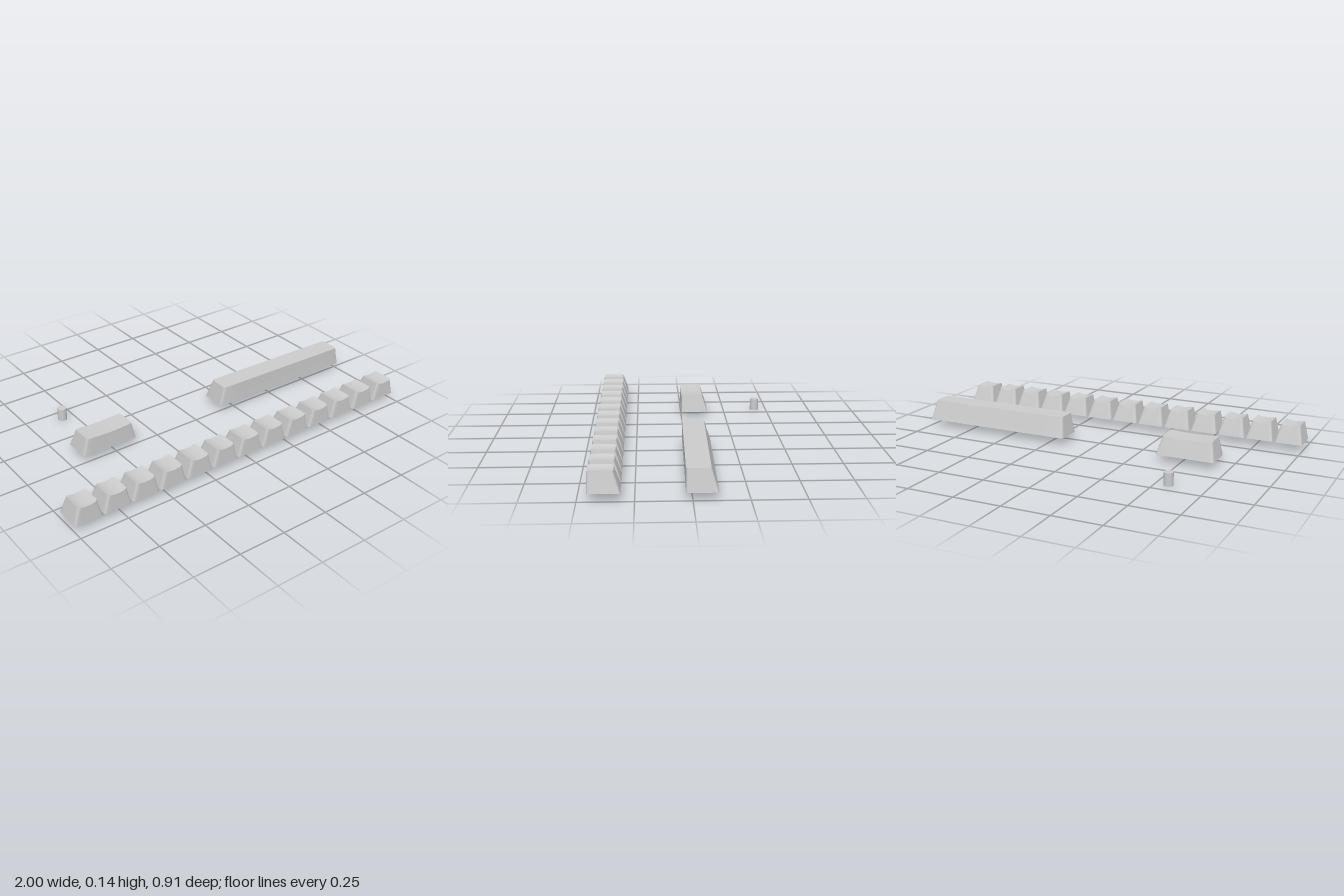
import * as THREE from 'three';
import { toCreasedNormals } from 'three/addons/utils/BufferGeometryUtils.js';

const material = new THREE.MeshStandardMaterial({ color: 0xcccccc });
const BASE_Y = 0.036;

// Rounded rectangle as [x, z] points, anticlockwise seen from above
function outline(x0, x1, z0, z1, r, cornerSteps = 4, sideSteps = 8) {
  const corners = [[x1 - r, z1 - r], [x1 - r, z0 + r], [x0 + r, z0 + r], [x0 + r, z1 - r]];
  const pts = [];
  corners.forEach(([cx, cz], k) => {
    for (let i = 0; i <= cornerSteps; i++) {
      const a = (k + i / cornerSteps) * Math.PI / 2;
      pts.push([cx + r * Math.sin(a), cz + r * Math.cos(a)]);
    }
    const [lx, lz] = pts[pts.length - 1];
    const a = (k + 1) * Math.PI / 2, [nx, nz] = corners[(k + 1) % 4];
    const ex = nx + r * Math.sin(a), ez = nz + r * Math.cos(a);
    for (let i = 1; i < sideSteps; i++) {
      const t = i / sideSteps;
      pts.push([lx + (ex - lx) * t, lz + (ez - lz) * t]);
    }
  });
  return pts;
}

// Skin a list of rings of [x, y, z]; the first and last ring are single points
function loft(rings) {
  const n = rings[0].length, index = [];
  for (let j = 0; j < rings.length - 1; j++) {
    for (let i = 0; i < n; i++) {
      const a = j * n + i, b = j * n + (i + 1) % n, c = b + n, d = a + n;
      if (j > 0) index.push(a, b, c === d ? d : (j < rings.length - 2 ? c : d));
      if (j < rings.length - 2) index.push(a, c, d);
      if (j === 0) index.push(a, c, d).valueOf();
    }
  }
  const geo = new THREE.BufferGeometry();
  geo.setAttribute('position', new THREE.Float32BufferAttribute(rings.flat(2), 3));
  geo.setIndex(index.filter((_, k) => k >= 0));
  return toCreasedNormals(geo, 0.6);
}

// Hollow key shell: upright front, sloping sides and back, dished top
function shellGeometry({ w, d, h, sideIn, backIn, dish }) {
  const wall = 0.01, topHalf = w / 2 - sideIn;
  const section = (t, inset) => {
    const hw = w / 2 - sideIn * t - inset;
    return outline(-hw, hw, -d / 2 + backIn * t + inset, d / 2 - inset, 0.009 + 0.004 * t);
  };
  const flat = (pts, y) => pts.map(([x, z]) => [x, y, z]);
  const shrink = (pts, s, yAt) => pts.map(([x, z]) => {
    const zc = backIn / 2;
    return [x * s, yAt(x * s), zc + (z - zc) * s];
  });
  const topY = x => h - dish * (1 - Math.min(1, (x / topHalf) ** 2));
  const ceilT = 0.78, ceilY = h * ceilT;
  const top = section(1, 0), ceiling = section(ceilT, wall);
  return loft([
    shrink(ceiling, 0, () => ceilY),
    flat(ceiling, ceilY),
    flat(section(0, wall), 0),
    flat(section(0, 0), 0),
    flat(section(0.5, 0.0005), h * 0.5),
    ...[1, 0.8, 0.6, 0.4, 0.2, 0].map(s => shrink(top, s, topY)),
  ]);
}

// Round post with a cross-shaped socket in its lower end
function stemGeometry(height) {
  const shape = new THREE.Shape().absarc(0, 0, 0.024, 0, Math.PI * 2);
  const a = 0.016, b = 0.005;
  shape.holes.push(new THREE.Path([
    [a, b], [b, b], [b, a], [-b, a], [-b, b], [-a, b],
    [-a, -b], [-b, -b], [-b, -a], [b, -a], [b, -b], [a, -b],
  ].map(p => new THREE.Vector2(...p))));
  const geo = new THREE.ExtrudeGeometry(shape, { depth: height, bevelEnabled: false, curveSegments: 12 });
  return toCreasedNormals(geo.rotateX(-Math.PI / 2), 0.6);
}

function makeKey(name, spec, stemXs) {
  const key = new THREE.Group();
  key.name = name;
  const shell = new THREE.Mesh(shellGeometry(spec), material);
  shell.name = 'keyShell';
  key.add(shell);
  const geo = stemGeometry(spec.h * 0.79);
  for (const x of stemXs) {
    const stem = new THREE.Mesh(geo, material);
    stem.name = 'keyStem';
    stem.position.x = x;
    key.add(stem);
  }
  return key;
}

export function createModel() {
  const model = new THREE.Group();
  model.name = 'keycapSet';

  // Front row of thirteen square keys
  const small = makeKey('squareKey', { w: 0.144, d: 0.145, h: 0.095, sideIn: 0.022, backIn: 0.03, dish: 0.009 }, [0]);
  for (let i = 0; i < 13; i++) {
    const key = small.clone();
    key.position.set(-0.928 + i * 1.856 / 12, BASE_Y, 0.383);
    model.add(key);
  }

  // Double-width key
  const wide = makeKey('wideKey', { w: 0.305, d: 0.147, h: 0.095, sideIn: 0.022, backIn: 0.03, dish: 0.007 }, [0]);
  wide.position.set(-0.532, BASE_Y, -0.073);
  model.add(wide);

  // Long bar, lying very slightly askew
  const bar = makeKey('spaceBar', { w: 0.843, d: 0.143, h: 0.105, sideIn: 0.021, backIn: 0.033, dish: 0 }, [-0.215, 0.215]);
  bar.position.set(0.577, BASE_Y + 0.001, -0.048);
  bar.rotation.set(0, -0.0145, -0.004);
  model.add(bar);

  // Loose peg
  const peg = new THREE.Mesh(new THREE.CylinderGeometry(0.024, 0.024, 0.066, 24), material);
  peg.name = 'loosePeg';
  peg.position.set(-0.565, 0.033, -0.432);
  model.add(peg);

  return model;
}
